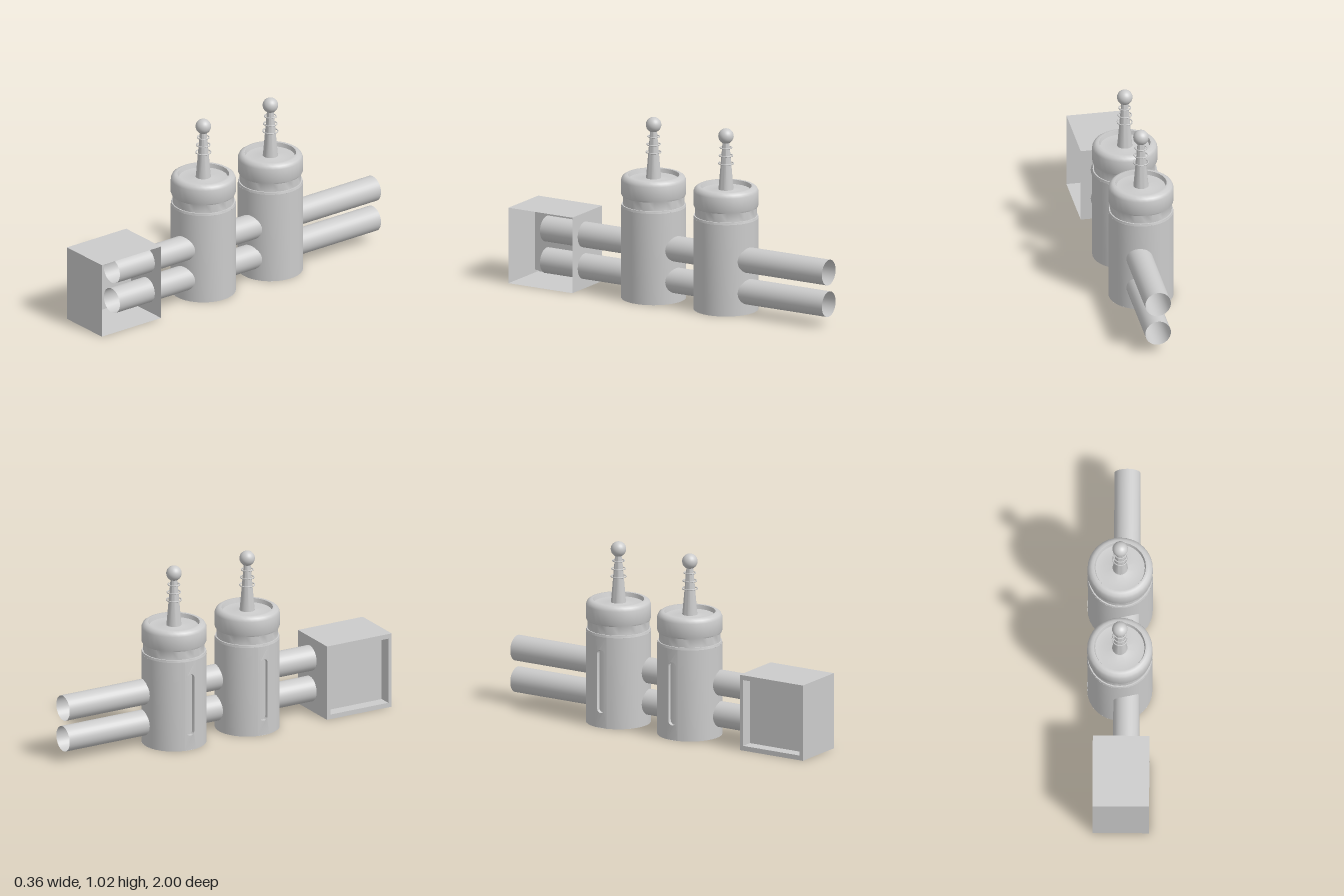
import * as THREE from 'three';
import { toCreasedNormals } from 'three/addons/utils/BufferGeometryUtils.js';

const grey = new THREE.MeshStandardMaterial({ color: 0xcccccc, side: THREE.DoubleSide });
const SIDES = 32;
const R = 0.18;          // tank radius
const BODY_TOP = 0.52;   // height of the straight tank wall
const GAP = 0.2;         // half angle of the wall strip that holds the slot

function add(parent, name, geometry, x = 0, y = 0, z = 0) {
  const mesh = new THREE.Mesh(geometry, grey);
  mesh.name = name;
  mesh.position.set(x, y, z);
  parent.add(mesh);
  return mesh;
}

function lathe(points, start = 0, length = Math.PI * 2) {
  const profile = points.map(([r, y]) => new THREE.Vector2(r, y));
  return toCreasedNormals(new THREE.LatheGeometry(profile, SIDES, start, length), 0.9);
}

// Wall strip with a round-ended slot, bent around the -x side of the tank
function slotStrip() {
  const half = GAP * R, w = 0.025, low = 0.085, high = 0.445, depth = 0.02;
  const shape = new THREE.Shape();
  shape.moveTo(-half, 0);
  shape.lineTo(half, 0);
  shape.lineTo(half, BODY_TOP);
  shape.lineTo(-half, BODY_TOP);
  const slot = new THREE.Path();
  slot.absarc(0, high - w, w, 0, Math.PI);
  slot.absarc(0, low + w, w, Math.PI, Math.PI * 2);
  slot.closePath();
  shape.holes.push(slot);
  const geometry = new THREE.ExtrudeGeometry(shape, { depth, bevelEnabled: false, curveSegments: 8 });
  const p = geometry.attributes.position;
  for (let i = 0; i < p.count; i++) {
    const angle = p.getX(i) / R, r = R - depth + p.getZ(i);
    p.setXYZ(i, -r * Math.cos(angle), p.getY(i), r * Math.sin(angle));
  }
  return toCreasedNormals(geometry, 0.6);
}

function makeTank() {
  const tank = new THREE.Group();
  tank.name = 'tank';
  const slotAngle = Math.PI * 1.5;

  add(tank, 'tankWall', lathe([[R, 0], [R, BODY_TOP]], slotAngle + GAP, Math.PI * 2 - 2 * GAP));
  add(tank, 'slottedWall', slotStrip());
  add(tank, 'slotFloor', new THREE.CylinderGeometry(0.16, 0.16, BODY_TOP, 4, 1, true,
    slotAngle - GAP, 2 * GAP), 0, BODY_TOP / 2, 0);
  add(tank, 'tankBase', new THREE.CircleGeometry(R, SIDES).rotateX(Math.PI / 2));

  // Shoulder, groove, chamfered cap and its dished top
  add(tank, 'cap', lathe([
    [R, BODY_TOP], [0.177, 0.533], [0.17, 0.533], [0.17, 0.583], [0.176, 0.583],
    [R, 0.592], [R, 0.67], [0.173, 0.687], [0.157, 0.698], [0.142, 0.698],
    [0.136, 0.675], [0.09, 0.672], [0.05, 0.68], [0, 0.685],
  ]));

  // Tapered rod with loose rings and a ball on top
  add(tank, 'rod', lathe([[0.043, 0.675], [0.04, 0.70], [0.019, 0.945]]));
  add(tank, 'ball', new THREE.SphereGeometry(0.043, 24, 16), 0, 0.982, 0);
  for (const [radius, y] of [[0.041, 0.827], [0.037, 0.871], [0.032, 0.916]]) {
    add(tank, 'ring', new THREE.TorusGeometry(radius, 0.0035, 8, 24).rotateX(Math.PI / 2), 0, y, 0);
  }
  return tank;
}

// Box keeping only its faces from the given one on (+x, -x, +y, -y, +z, -z)
function boxWithout(width, height, depth, dropped) {
  const geometry = new THREE.BoxGeometry(width, height, depth);
  const index = Array.from(geometry.index.array);
  geometry.setIndex(index.filter((_, i) => !dropped.includes(Math.floor(i / 6))));
  geometry.clearGroups();
  return geometry;
}

function rectangle(path, w, h) {
  path.moveTo(-w / 2, -h / 2);
  path.lineTo(w / 2, -h / 2);
  path.lineTo(w / 2, h / 2);
  path.lineTo(-w / 2, h / 2);
  path.closePath();
  return path;
}

// Thin box, open on the +x side, with a recessed panel on the -x side
function makeHousing() {
  const housing = new THREE.Group();
  housing.name = 'housing';
  const w = 0.312, h = 0.43, d = 0.415, recess = 0.07;
  const innerH = h - 0.054, innerD = d - 0.044;
  add(housing, 'shell', boxWithout(w, h, d, [0, 1]));

  const frame = rectangle(new THREE.Shape(), d, h);
  frame.holes.push(rectangle(new THREE.Path(), innerD, innerH));
  add(housing, 'frame', new THREE.ShapeGeometry(frame).rotateY(-Math.PI / 2), -w / 2, 0, 0);
  add(housing, 'recessedPanel', boxWithout(recess, innerH, innerD, [1]), -w / 2 + recess / 2, 0, 0);
  housing.position.set(0.009, h / 2, 1 - d / 2);
  return housing;
}

export function createModel() {
  const model = new THREE.Group();
  model.name = 'pipeStation';

  for (const z of [0.16, -0.31]) {
    const tank = makeTank();
    tank.position.z = z;
    model.add(tank);
  }

  // Two open pipes running through both tanks into the housing
  for (const y of [0.127, 0.307]) {
    add(model, 'pipe', new THREE.CylinderGeometry(0.072, 0.072, 1.83, SIDES, 1, true)
      .rotateX(Math.PI / 2), 0.037, y, -0.085);
  }

  model.add(makeHousing());
  return model;
}
